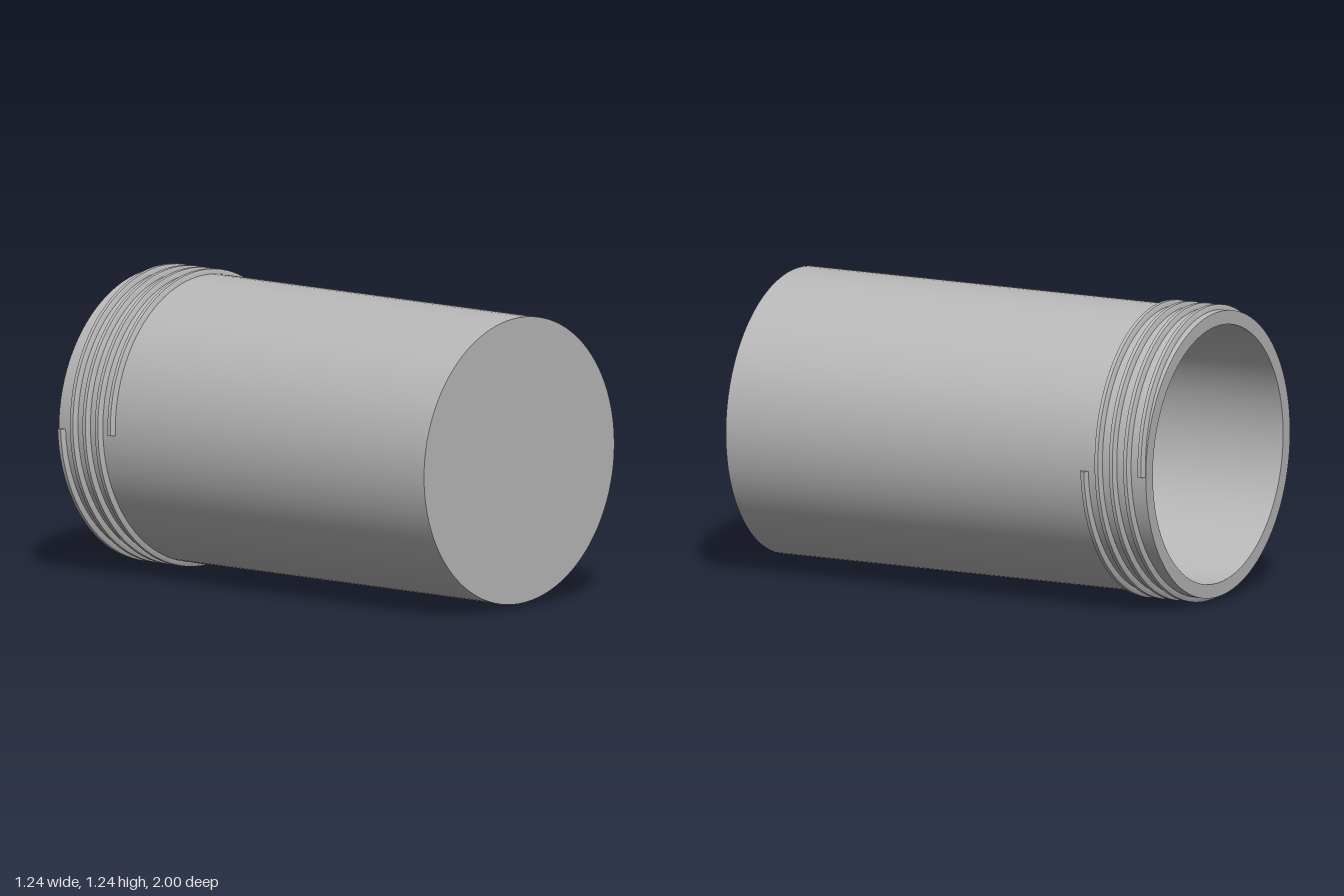
import * as THREE from 'three';
import { toCreasedNormals } from 'three/addons/utils/BufferGeometryUtils.js';

const R = 0.598, BORE = 0.54, CREST = 0.618, CENTER_Y = 0.62;

// Helical ridge of trapezoid section, with capped ends
function threadGeometry(startAngle) {
  const turns = 2, lead = 0.1365, startZ = -0.708, steps = 192;
  const section = [[R - 0.006, 0.018], [R, 0.018], [CREST, 0.008], [CREST, -0.008], [R, -0.018], [R - 0.006, -0.018]];
  const n = section.length, positions = [], index = [];
  for (let i = 0; i <= steps; i++) {
    const t = (i / steps) * turns;
    const a = startAngle - t * Math.PI * 2;
    for (const [r, dz] of section) positions.push(r * Math.cos(a), r * Math.sin(a), startZ - t * lead + dz);
  }
  for (let i = 0; i < steps; i++) {
    for (let j = 0; j < n; j++) {
      const k = (j + 1) % n;
      const a = i * n + j, b = i * n + k, c = a + n, d = b + n;
      index.push(a, b, c, b, d, c);
    }
  }
  const last = steps * n;
  for (let j = 1; j < n - 1; j++) {
    index.push(0, j + 1, j);
    index.push(last, last + j, last + j + 1);
  }
  const g = new THREE.BufferGeometry();
  g.setAttribute('position', new THREE.Float32BufferAttribute(positions, 3));
  g.setIndex(index);
  return toCreasedNormals(g, 0.5);
}

export function createModel() {
  const model = new THREE.Group();
  model.name = 'threadedCup';
  const grey = new THREE.MeshStandardMaterial({ color: 0xb8b8b8, side: THREE.DoubleSide });
  grey.name = 'grey';

  // Hollow body: closed at the front, open at the back
  const profile = [[0, -1], [R, -1], [R, 1], [BORE, 1], [BORE, -0.94], [0, -0.94]]
    .map(([r, y]) => new THREE.Vector2(r, y));
  const bodyGeometry = toCreasedNormals(new THREE.LatheGeometry(profile, 96), 0.5);
  bodyGeometry.rotateX(-Math.PI / 2);
  const body = new THREE.Mesh(bodyGeometry, grey);
  body.name = 'body';
  model.add(body);

  // Two-start screw thread around the open end
  [0, Math.PI].forEach((angle, i) => {
    const thread = new THREE.Mesh(threadGeometry(angle), grey);
    thread.name = `thread${i + 1}`;
    model.add(thread);
  });

  model.children.forEach((part) => { part.position.y = CENTER_Y; });
  return model;
}
